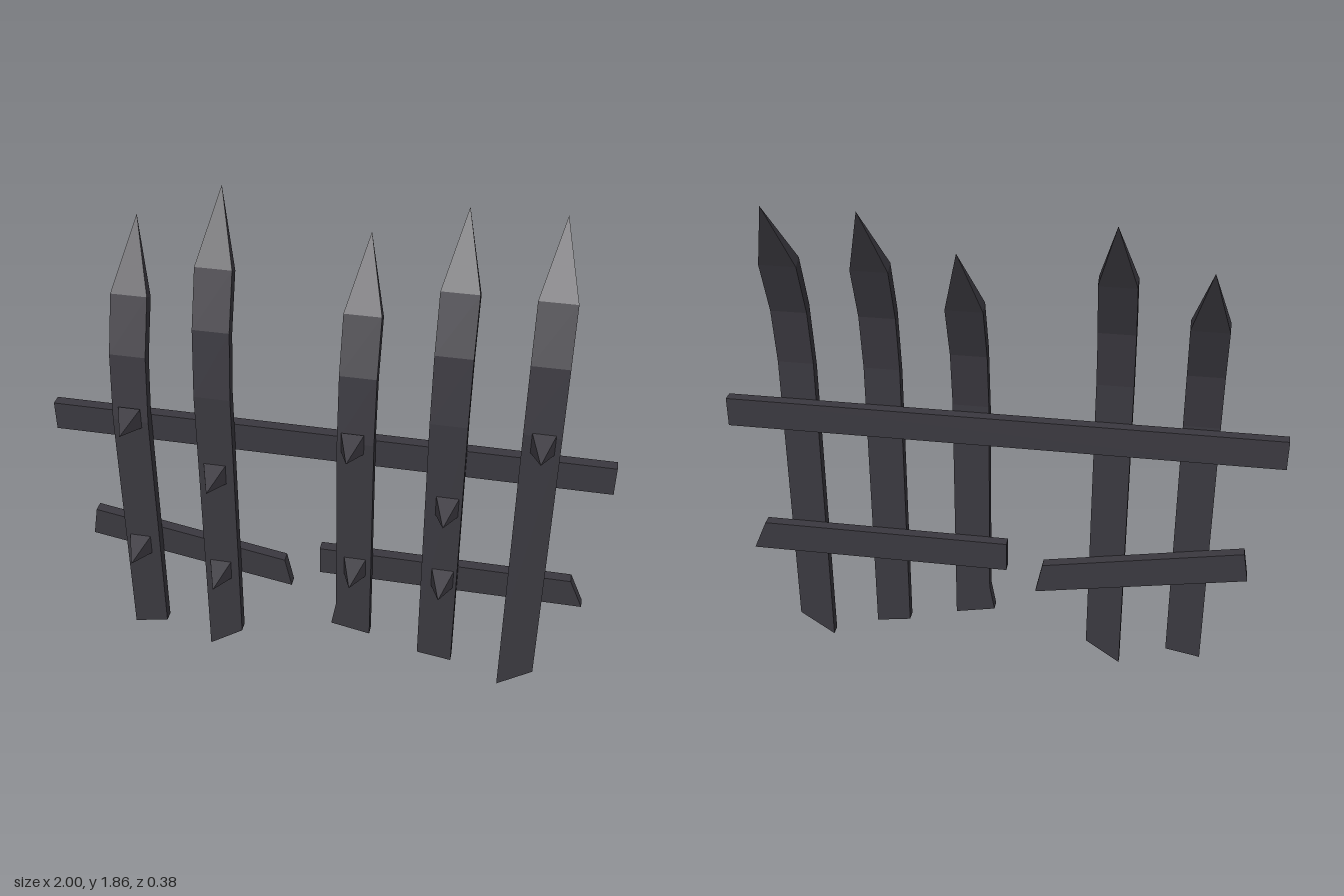
import * as THREE from 'three';

const iron = new THREE.MeshStandardMaterial({ color: 0x3a383f, flatShading: true });
iron.name = 'darkIron';

const HALF = 0.065;              // half width of a picket
const FRONT = 0.07, BACK = 0.03; // picket faces; rails sit behind BACK

// Picket: square sections swept up a backward bend to a single point
function picketGeometry(x, leftY, rightY, shoulder, flare = 0) {
  const L = x - HALF, R = x + HALF;
  const row = (yf, zf, yb, zb) => [[L, yf, zf], [R, yf, zf], [R, yb, zb], [L, yb, zb]];
  const tip = [x, shoulder + 0.23, -0.19];
  const rows = [
    [[L - flare, leftY, FRONT], [R, rightY, FRONT], [R, rightY, BACK], [L - flare, leftY, BACK]],
    row(0.3, FRONT, 0.3, BACK),
    row(shoulder - 0.45, FRONT, shoulder - 0.43, BACK),
    row(shoulder - 0.2, 0.037, shoulder - 0.22, 0),
    row(shoulder, -0.035, shoulder - 0.02, -0.075),
  ];
  const pos = [];
  const tri = (...points) => points.forEach((p) => pos.push(...p));
  for (let i = 0; i < rows.length; i++) {
    for (let k = 0; k < 4; k++) {
      const n = (k + 1) % 4, a = rows[i][k], b = rows[i][n];
      if (i === rows.length - 1) {
        tri(a, b, tip);
      } else {
        tri(a, b, rows[i + 1][n]);
        tri(a, rows[i + 1][n], rows[i + 1][k]);
      }
    }
  }
  const [fl, fr, br, bl] = rows[0];
  tri(fl, bl, br);
  tri(fl, br, fr);
  const g = new THREE.BufferGeometry();
  g.setAttribute('position', new THREE.Float32BufferAttribute(pos, 3));
  g.computeVertexNormals();
  return g;
}

// Rail: flat outline given thickness
function railGeometry(outline) {
  const shape = new THREE.Shape(outline.map(([x, y]) => new THREE.Vector2(x, y)));
  return new THREE.ExtrudeGeometry(shape, { depth: 0.04, bevelEnabled: false }).translate(0, 0, -0.01);
}

export function createModel() {
  const fence = new THREE.Group();
  fence.name = 'brokenFence';
  const add = (name, geometry) => {
    const mesh = new THREE.Mesh(geometry, iron);
    mesh.name = name;
    fence.add(mesh);
    return mesh;
  };

  // Pickets: centre x, bottom left y, bottom right y, shoulder y, flare of the foot
  [
    [-0.7, 0.065, 0.09, 1.495, 0],
    [-0.395, 0, 0.09, 1.63, 0],
    [0.11, 0.2, 0.17, 1.51, 0.018],
    [0.427, 0.11, 0.09, 1.63, 0],
    [0.74, 0, 0.09, 1.63, 0],
  ].forEach((p, i) => add(`picket${i + 1}`, picketGeometry(...p)));

  // Rails
  add('topRail', railGeometry([[-1, 0.945], [1, 0.945], [1, 1.055], [-1, 1.055]]));
  add('brokenRailRight', railGeometry([[-0.91, 0.465], [-0.135, 0.33], [-0.16, 0.45], [-0.89, 0.58]]));
  add('brokenRailLeft', railGeometry([[-0.025, 0.415], [0.95, 0.415], [0.9, 0.53], [-0.025, 0.53]]));

  // Pyramid studs on the front of the pickets
  const stud = new THREE.ConeGeometry(0.04 * Math.SQRT2, 0.12, 4)
    .rotateY(Math.PI / 4).rotateX(Math.PI / 2).translate(0, 0, FRONT + 0.06);
  [
    [-0.7, 1.06], [-0.71, 0.475], [-0.4, 0.855], [-0.4, 0.4], [0.1, 1.06],
    [0.115, 0.5], [0.44, 0.835], [0.44, 0.5], [0.745, 1.15],
  ].forEach(([x, y], i) => add(`stud${i + 1}`, stud).position.set(x, y, 0));

  return fence;
}
